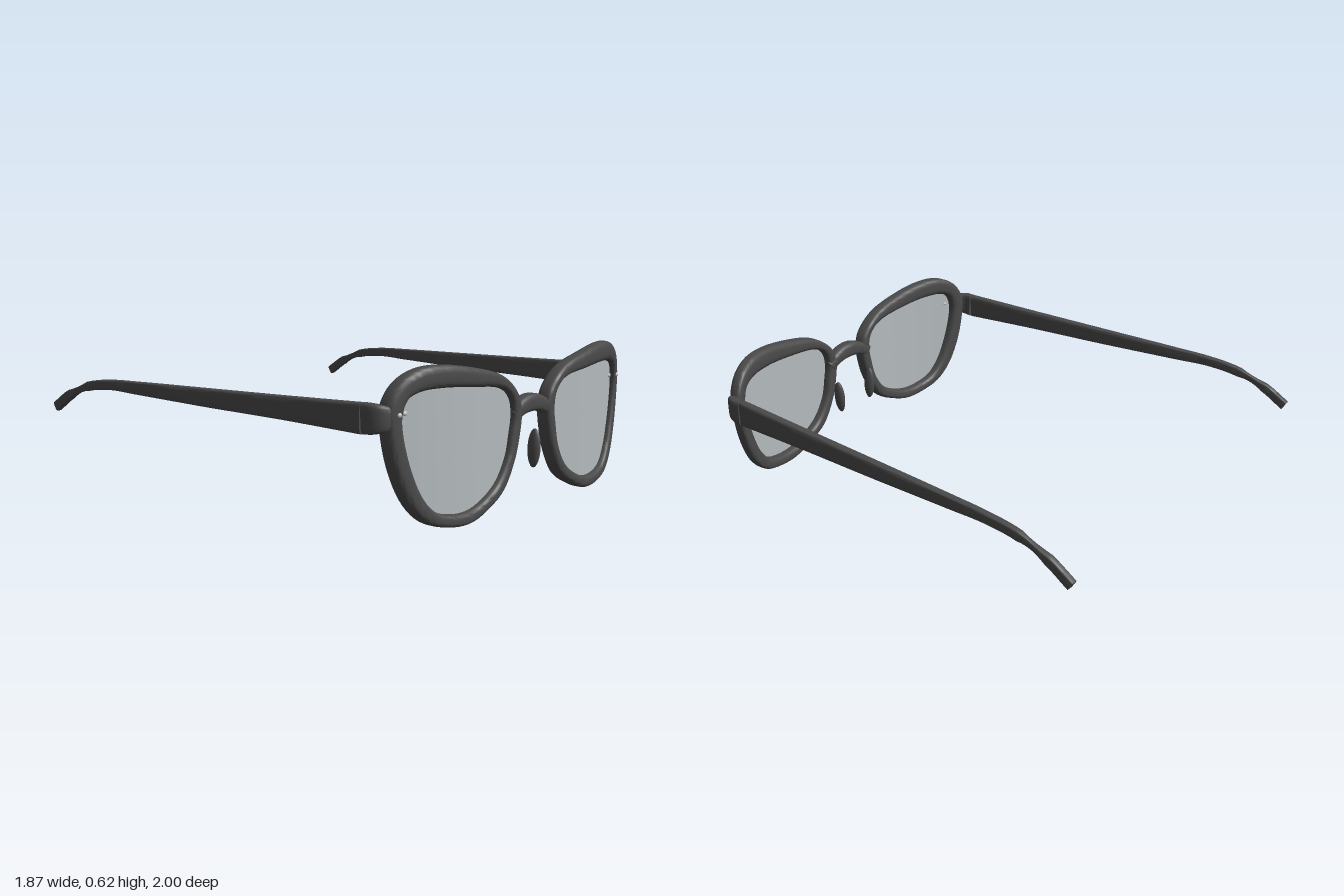
import * as THREE from 'three';
import { toCreasedNormals } from 'three/addons/utils/BufferGeometryUtils.js';

const V = (x, y, z = 0) => new THREE.Vector3(x, y, z);

// Rim stations: outer x, y and inner x, y, running clockwise from the bridge
const RIM = [
  [0.16, 0.52, 0.19, 0.49], [0.235, 0.565, 0.245, 0.513], [0.37, 0.6, 0.39, 0.53],
  [0.56, 0.628, 0.56, 0.542], [0.67, 0.622, 0.675, 0.535], [0.755, 0.58, 0.728, 0.51],
  [0.806, 0.5, 0.749, 0.455], [0.805, 0.39, 0.745, 0.385], [0.77, 0.235, 0.71, 0.255],
  [0.71, 0.113, 0.66, 0.148], [0.635, 0.043, 0.6, 0.085], [0.535, 0.012, 0.52, 0.06],
  [0.42, 0.007, 0.425, 0.058], [0.31, 0.043, 0.325, 0.09], [0.21, 0.1, 0.24, 0.145],
  [0.138, 0.21, 0.18, 0.235], [0.105, 0.31, 0.158, 0.32], [0.093, 0.4, 0.146, 0.39],
  [0.11, 0.465, 0.156, 0.45],
];
const outer = new THREE.CatmullRomCurve3(RIM.map(p => V(p[0], p[1])), true);
const inner = new THREE.CatmullRomCurve3(RIM.map(p => V(p[2], p[3])), true);

// The front wraps backwards towards the temples
const frontZ = x => 1 - 0.34 * Math.max(0, x - 0.3) ** 2;

// Rounded-rectangle section with coordinates in -1..1
function section(power, count = 20) {
  const soft = c => Math.sign(c) * Math.abs(c) ** power;
  return Array.from({ length: count }, (_, i) => {
    const a = (i + 0.5) / count * Math.PI * 2;
    return [soft(Math.cos(a)), soft(Math.sin(a))];
  });
}

// Skin a list of rings; a closed loft joins the last ring to the first, an open one is capped
function loft(rings, closed, side = 1) {
  const n = rings[0].length, m = rings.length, index = [];
  const points = rings.flat();
  for (let i = 0; i < (closed ? m : m - 1); i++) {
    for (let j = 0; j < n; j++) {
      const a = i * n + j, b = i * n + (j + 1) % n;
      const c = ((i + 1) % m) * n + j, d = ((i + 1) % m) * n + (j + 1) % n;
      index.push(a, b, c, b, d, c);
    }
  }
  if (!closed) {
    for (let j = 1; j < n - 1; j++) {
      const e = (m - 1) * n;
      index.push(0, j + 1, j, e, e + j, e + j + 1);
    }
  }
  const pts = points.map(p => V(p.x * side, p.y, p.z));
  // Turn all faces outwards, using the sign of the volume
  let volume = 0;
  for (let i = 0; i < index.length; i += 3) {
    volume += pts[index[i]].dot(pts[index[i + 1]].clone().cross(pts[index[i + 2]]));
  }
  if (volume < 0) index.reverse();
  const g = new THREE.BufferGeometry().setFromPoints(pts);
  g.setIndex(index);
  return toCreasedNormals(g, 0.7);
}

// Sweep a section along centres; sizes hold half width and half height
function sweep(centres, sizes, steps, power, side) {
  const path = new THREE.CatmullRomCurve3(centres.map(c => V(...c)));
  const size = new THREE.CatmullRomCurve3(sizes.map(s => V(...s)));
  const rings = [];
  for (let i = 0; i <= steps; i++) {
    const t = i / steps, p = path.getPoint(t), s = size.getPoint(t);
    const dir = path.getTangent(t);
    const across = dir.clone().cross(V(0, 1, 0)).normalize();
    const up = across.clone().cross(dir);
    rings.push(section(power).map(([u, v]) =>
      p.clone().addScaledVector(across, u * s.x).addScaledVector(up, v * s.y)));
  }
  return loft(rings, false, side);
}

function rimGeometry(side) {
  const rings = [];
  for (let i = 0; i < 114; i++) {
    const o = outer.getPoint(i / 114), n = inner.getPoint(i / 114);
    rings.push(section(0.6).map(([u, v]) => {
      const p = o.clone().lerp(n, (1 - u) / 2);
      p.z = frontZ(p.x) - 0.034 + 0.034 * v;
      return p;
    }));
  }
  return loft(rings, true, side);
}

// Curved lens sheet made of concentric rings
function lensGeometry(side) {
  const n = 76, m = 8, pts = [], index = [];
  for (let k = 0; k <= m; k++) {
    for (let j = 0; j < n; j++) {
      const t = j / n;
      const edge = inner.getPoint(t).lerp(outer.getPoint(t), 0.15);
      const p = V(0.45, 0.3).lerp(edge, k / m);
      pts.push(V(p.x * side, p.y, frontZ(p.x) - 0.028));
      if (k < m) {
        const a = k * n + j, b = k * n + (j + 1) % n;
        if (side > 0) index.push(a, b, a + n, b, b + n, a + n);
        else index.push(a, a + n, b, b, a + n, b + n);
      }
    }
  }
  // Clockwise rim order: reverse so that the sheet faces forwards
  index.reverse();
  const g = new THREE.BufferGeometry().setFromPoints(pts);
  g.setIndex(index);
  g.computeVertexNormals();
  return g;
}

export function createModel() {
  const model = new THREE.Group();
  model.name = 'glasses';
  const frame = new THREE.MeshStandardMaterial({ color: 0x4a4a4a });
  frame.name = 'darkFrame';
  const glass = new THREE.MeshStandardMaterial({ color: 0xb4babd, side: THREE.DoubleSide });
  glass.name = 'greyGlass';
  const metal = new THREE.MeshStandardMaterial({ color: 0xc4c6c8 });
  metal.name = 'paleMetal';

  const add = (name, geometry, material) => {
    const mesh = new THREE.Mesh(geometry, material);
    mesh.name = name;
    model.add(mesh);
    return mesh;
  };

  for (const side of [1, -1]) {
    const label = side > 0 ? 'left' : 'right';
    add(label + 'Rim', rimGeometry(side), frame);
    add(label + 'Lens', lensGeometry(side), glass);

    // Hinge block turning the corner from the rim to the temple
    add(label + 'Hinge', sweep(
      [[0.775, 0.45, 0.893], [0.812, 0.45, 0.878], [0.829, 0.449, 0.848], [0.829, 0.447, 0.807]],
      [[0.024, 0.04], [0.024, 0.05], [0.023, 0.056], [0.022, 0.058]], 12, 0.4, side), frame);

    // Temple tapering backwards and drooping over the ear
    add(label + 'Temple', sweep(
      [[0.83, 0.446, 0.8], [0.85, 0.447, 0.4], [0.87, 0.446, 0], [0.891, 0.447, -0.4],
        [0.902, 0.446, -0.6], [0.908, 0.427, -0.75], [0.915, 0.38, -0.88], [0.92, 0.314, -0.988]],
      [[0.02, 0.058], [0.02, 0.046], [0.019, 0.038], [0.017, 0.028],
        [0.016, 0.022], [0.015, 0.021], [0.015, 0.021], [0.015, 0.022]], 56, 0.35, side), frame);

    // Nose pad behind the inner edge of the rim
    const pad = add(label + 'NosePad', new THREE.SphereGeometry(1, 20, 14), frame);
    pad.scale.set(0.019, 0.082, 0.03);
    pad.position.set(side * 0.109, 0.218, 0.921);
    pad.rotation.z = side * -0.06;

    // Two small studs near the outer corner, one on the rim and one on the lens
    for (const [x, lift] of [[0.772, 0.001], [0.727, -0.026]]) {
      const stud = add(label + 'Stud', new THREE.SphereGeometry(1, 12, 8), metal);
      stud.scale.set(0.011, 0.009, 0.006);
      stud.position.set(side * x, 0.463, frontZ(x) + lift);
    }
  }

  // Arched bridge between the rims
  add('bridge', sweep(
    [[-0.135, 0.385, 0.962], [-0.09, 0.408, 0.962], [-0.045, 0.423, 0.962], [0, 0.428, 0.962],
      [0.045, 0.423, 0.962], [0.09, 0.408, 0.962], [0.135, 0.385, 0.962]],
    [[0.032, 0.03], [0.032, 0.031], [0.032, 0.035], [0.032, 0.037],
      [0.032, 0.035], [0.032, 0.031], [0.032, 0.03]], 24, 0.6, 1), frame);

  return model;
}
